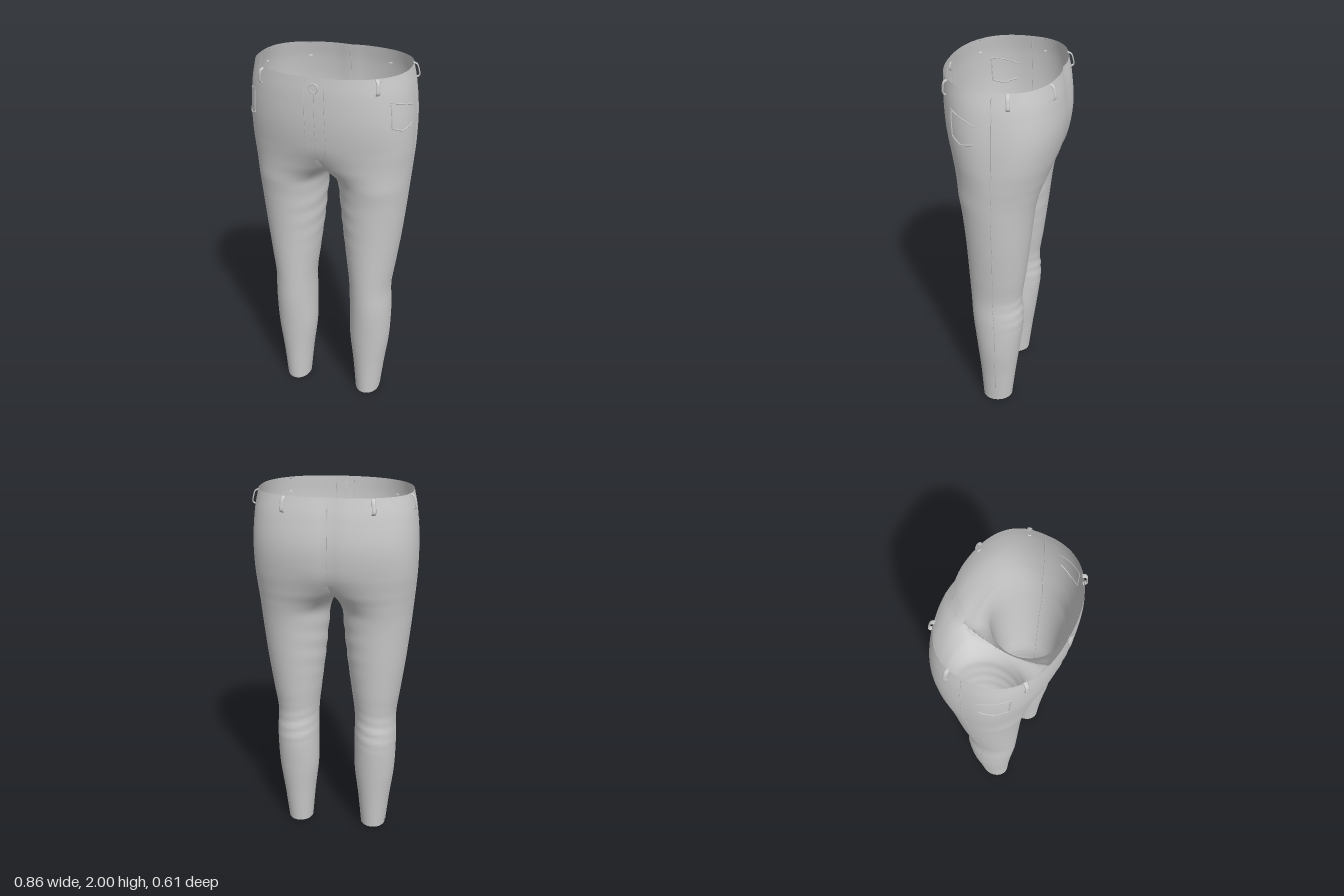
import * as THREE from 'three';
import { mergeVertices } from 'three/addons/utils/BufferGeometryUtils.js';

// Leg and hip measurements by height: y, outer x, inner x, front z, back z
const PROFILE = [
  [0, 0.29, 0.148, 0.095, -0.075], [0.2, 0.31, 0.13, 0.107, -0.095],
  [0.4, 0.334, 0.107, 0.125, -0.12], [0.6, 0.34, 0.105, 0.145, -0.139],
  [0.75, 0.335, 0.103, 0.153, -0.13], [0.9, 0.354, 0.085, 0.16, -0.148],
  [1.1, 0.38, 0.06, 0.17, -0.17], [1.3, 0.401, 0.04, 0.187, -0.19],
  [1.38, 0.408, 0.03, 0.2, -0.203], [1.44, 0.413, 0.0, 0.212, -0.222],
  [1.5, 0.418, -0.06, 0.232, -0.25], [1.6, 0.424, -0.12, 0.262, -0.285],
  [1.75, 0.424, -0.12, 0.29, -0.307], [1.9, 0.41, -0.12, 0.3, -0.295],
  [2, 0.39, -0.12, 0.298, -0.275],
];
const SIDES = 80, OUTER = 0.7 * Math.PI; // angle where the hip outline meets the centre plane
const material = new THREE.MeshStandardMaterial({ color: 0xcccccc, side: THREE.DoubleSide });

// Smooth interpolation of one profile column
function measure(y, col) {
  let k = 0;
  while (k < PROFILE.length - 2 && PROFILE[k + 1][0] < y) k++;
  const slope = (i) => {
    const a = PROFILE[Math.max(i - 1, 0)], b = PROFILE[Math.min(i + 1, PROFILE.length - 1)];
    return (b[col] - a[col]) / (b[0] - a[0]);
  };
  const p = PROFILE[k], q = PROFILE[k + 1], h = q[0] - p[0], t = (y - p[0]) / h;
  const t2 = t * t, t3 = t2 * t;
  return (2 * t3 - 3 * t2 + 1) * p[col] + (t3 - 2 * t2 + t) * h * slope(k)
    + (3 * t2 - 2 * t3) * q[col] + (t3 - t2) * h * slope(k + 1);
}

// Half of the hip outline: angle 0 at the side, +90 degrees front, -90 back
function hipPoint(theta, y, W, F, B) {
  const a = Math.abs(theta), front = theta >= 0, D = front ? F : B;
  if (a > OUTER - 1e-6) return [0, D * (1 - (a - OUTER) / (Math.PI - OUTER)) * (front ? 1 : 0.97)];
  const phi = (a / OUTER) * Math.PI / 2, e = 2 / (front ? 2.3 : 2.6);
  const x = W * Math.cos(phi) ** e;
  let z = D * Math.sin(phi) ** e;
  if (!front) z *= 1 - 0.03 * Math.exp(-((x / 0.04) ** 2)); // seat cleft
  return [x, z];
}

// Surface of the left half: round leg blended into the half hip
function surface(theta, y) {
  const [W, I, F, B] = [1, 2, 3, 4].map((c) => measure(y, c));
  const s = THREE.MathUtils.smoothstep(y, 1.38, 1.64);
  const sin = Math.sin(theta), cos = Math.cos(theta), mid = (F + B) / 2;
  // shallow cloth folds, strongest behind the knee
  const knee = Math.exp(-(((y - 0.68) / 0.09) ** 2)) * Math.max(0, -sin);
  const thigh = Math.exp(-(((y - 1.2) / 0.2) ** 2)) * Math.max(0, -cos);
  const fold = 1 + 0.022 * knee * Math.sin(y * 95 + 2 * cos) + 0.012 * thigh * Math.sin(y * 60 + 3 * sin);
  const lx = (W + I) / 2 + (W - I) / 2 * cos * fold;
  const lz = mid + (F - B) / 2 * sin * fold;
  const [hx, hz] = hipPoint(theta, y, W, F, B);
  const x = lx + (hx - lx) * s, z = lz + (hz - lz) * s;
  const hem = Math.max(0, 1 - y / 0.15) * 0.0075 * (1 - sin); // hem rises toward the back
  return new THREE.Vector3(x < 1e-3 ? 0 : x, y + hem, z);
}

// Trouser shell: both halves welded along the centre plane
function shellGeometry() {
  const ys = [];
  for (let y = 0; y < 1.355; y += 0.02) ys.push(y);
  for (let y = 1.36; y < 1.655; y += 0.0075) ys.push(y);
  for (let i = 0; i <= 16; i++) ys.push(1.66 + (0.34 * i) / 16);
  const pos = [], index = [];
  for (const side of [1, -1]) {
    const base = pos.length / 3;
    for (const y of ys) {
      for (let i = 0; i < SIDES; i++) {
        let theta = (i / SIDES) * Math.PI * 2;
        if (theta > Math.PI) theta -= Math.PI * 2;
        const p = surface(theta, y);
        pos.push(p.x * side, p.y, p.z);
      }
    }
    const tri = (a, b, c) => {
      // nothing spans the centre plane itself, so the hips stay hollow
      if ([a, b, c].every((v) => pos[v * 3] === 0)) return;
      if (side > 0) index.push(a, b, c); else index.push(a, c, b);
    };
    for (let j = 0; j < ys.length - 1; j++) {
      for (let i = 0; i < SIDES; i++) {
        const n = (i + 1) % SIDES, r = base + j * SIDES, u = r + SIDES;
        tri(r + i, u + i, r + n);
        tri(r + n, u + i, u + n);
      }
    }
  }
  const g = new THREE.BufferGeometry();
  g.setAttribute('position', new THREE.Float32BufferAttribute(pos.map((v) => v || 0), 3));
  g.setIndex(index);
  const welded = mergeVertices(g, 1e-5);
  welded.computeVertexNormals();
  return welded;
}

// Point on the shell from a hip angle in degrees
const onHip = (deg, y) => surface((deg / 90) * OUTER, y);

export function createModel() {
  const group = new THREE.Group();
  const add = (name, geometry, parent = group) => {
    const mesh = new THREE.Mesh(geometry, material);
    mesh.name = name;
    parent.add(mesh);
    return mesh;
  };
  add('trousers', shellGeometry());

  // Raised stitching that follows the cloth through [angle, height] stops
  const stitch = (name, stops, side, radius = 0.003) => {
    const pts = [];
    for (let k = 0; k < stops.length - 1; k++) {
      for (let i = 0; i < 12; i++) {
        const t = i / 12, [a, y] = stops[k], [b, v] = stops[k + 1];
        pts.push(onHip(a + (b - a) * t, y + (v - y) * t));
      }
    }
    pts.push(onHip(...stops[stops.length - 1]));
    pts.forEach((p) => { p.x *= side; });
    const curve = new THREE.CatmullRomCurve3(pts);
    add(name, new THREE.TubeGeometry(curve, pts.length * 2, radius, 5), group);
  };

  for (const side of [1, -1]) {
    const label = side > 0 ? 'left' : 'right';
    stitch(label + 'SideSeam', [[-2, 0.02], [-2, 0.6], [-2, 1.3], [-2, 1.98]], side, 0.0025);
    stitch(label + 'PocketOpening', [[37, 1.88], [22, 1.86], [8, 1.835]], side);
    stitch(label + 'PocketPatch', [[36, 1.87], [36, 1.75], [24, 1.725], [10, 1.745]], side, 0.004);

    // Belt loops, set square to the waist
    for (const [place, deg] of [['Front', 47], ['Side', -14], ['Back', -63]]) {
      const p = onHip(deg, 1.96), d = onHip(deg + 2, 1.96).sub(onHip(deg - 2, 1.96));
      const low = onHip(deg, 1.92), high = onHip(deg, 1.995);
      const out = new THREE.Vector3(d.z, 0, -d.x).normalize();
      const off = (q) => (q.x - p.x) * out.x + (q.z - p.z) * out.z;
      const path = new THREE.CatmullRomCurve3([
        [1.922, off(low) - 0.004], [1.932, off(low) + 0.011], [1.96, 0.016],
        [1.986, off(high) + 0.014], [1.996, off(high) - 0.004],
      ].map(([y, z]) => new THREE.Vector3(0, y, z)));
      const geo = new THREE.TubeGeometry(path, 20, 0.0035, 8);
      geo.scale(3, 1, 1);
      const loop = add(label + place + 'BeltLoop', geo);
      loop.position.set(p.x * side, 0, p.z);
      loop.rotation.y = Math.atan2(out.x * side, out.z);
    }
  }

  // Fly stitching and centre seams
  stitch('flyStitching', [[85, 1.98], [85, 1.64], [86.5, 1.59], [89.5, 1.56]], 1, 0.002);
  stitch('flyEdge', [[85, 1.98], [85, 1.6]], -1, 0.002);
  stitch('frontSeam', [[90, 1.92], [90, 1.62]], 1, 0.002);
  stitch('backSeam', [[-90, 1.98], [-90, 1.62]], 1, 0.002);

  // Waist button with a raised rim
  const button = new THREE.Group();
  button.name = 'button';
  button.position.set(0, 1.95, 0.299);
  add('buttonDisc', new THREE.CylinderGeometry(0.022, 0.022, 0.012, 28).rotateX(Math.PI / 2), button);
  const rim = add('buttonRim', new THREE.TorusGeometry(0.021, 0.004, 8, 28), button);
  rim.position.z = 0.004;
  group.add(button);
  return group;
}
